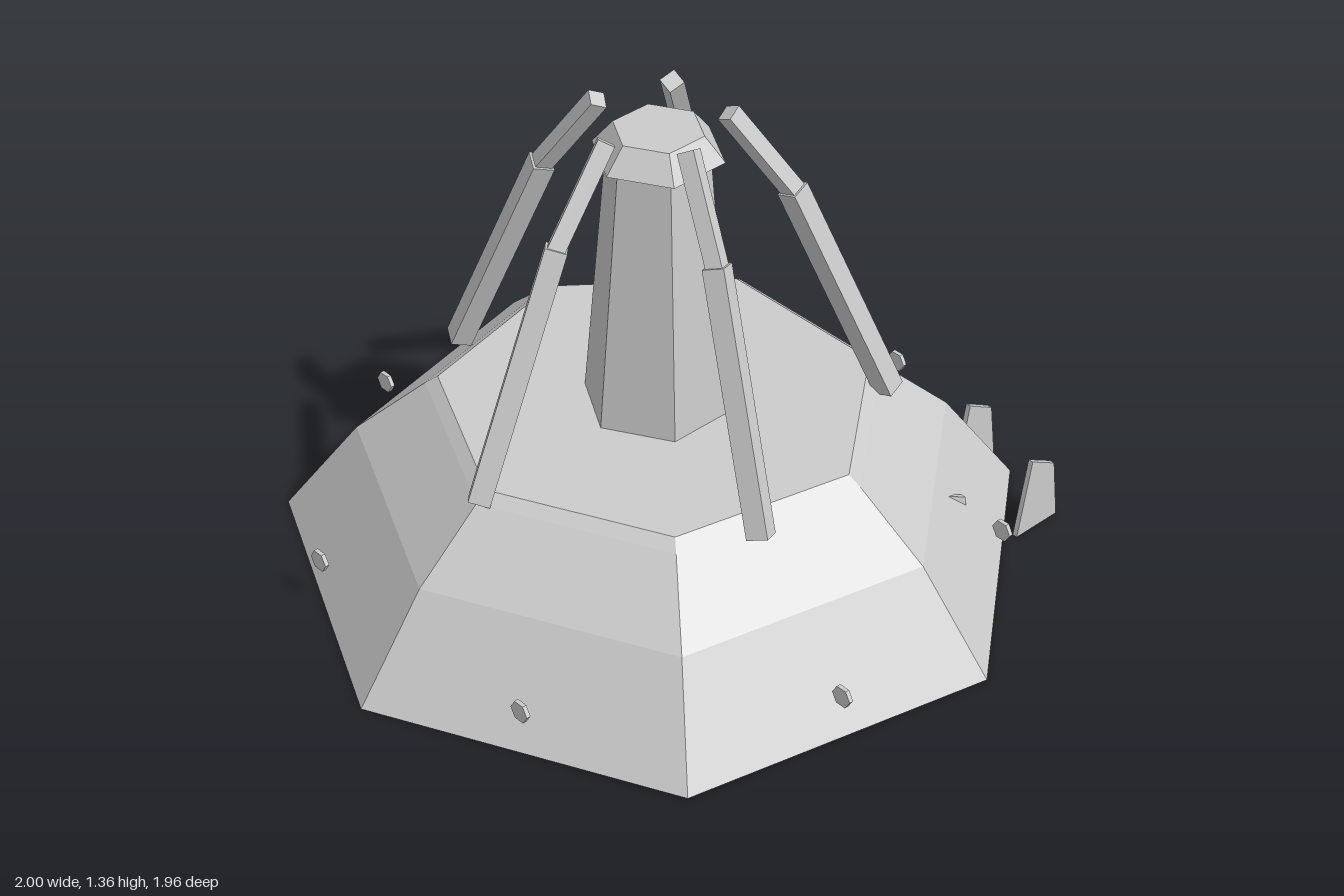
import * as THREE from 'three';

const CZ = -0.045; // z of the common vertical axis

export function createModel() {
  const root = new THREE.Group();
  root.name = 'tower';
  const mat = new THREE.MeshStandardMaterial({ color: 0xcccccc, flatShading: true });

  function add(parent, name, geometry) {
    const mesh = new THREE.Mesh(geometry, mat);
    mesh.name = name;
    parent.add(mesh);
    return mesh;
  }
  // Faceted solid of revolution from [radius, y] points, bottom to top
  const faceted = (points, sides) =>
    new THREE.LatheGeometry(points.map(([r, y]) => new THREE.Vector2(r, y)), sides);

  // Everything radial is built around the axis
  const body = new THREE.Group();
  body.name = 'body';
  body.position.z = CZ;
  root.add(body);

  // Seven-sided sloping base with a bevelled deck
  add(body, 'base', faceted(
    [[0, 0], [1.026, 0], [0.82, 0.28], [0.625, 0.45], [0.59, 0.475], [0, 0.475]], 7));

  // Six-sided pillar and its cap
  add(body, 'pillar', faceted([[0, 0.46], [0.203, 0.46], [0.138, 1.24], [0, 1.24]], 6));
  add(body, 'cap', faceted([[0, 1.235], [0.175, 1.235], [0.12, 1.303], [0, 1.303]], 6));

  // Diamond-section bar between two [radius, y] points
  function bar(parent, name, [r0, y0], [r1, y1], radius) {
    const dy = y1 - y0, dr = r1 - r0;
    const mesh = add(parent, name,
      new THREE.CylinderGeometry(radius, radius, Math.hypot(dy, dr), 4));
    mesh.position.set(0, (y0 + y1) / 2, (r0 + r1) / 2);
    mesh.rotation.x = Math.atan2(dr, dy);
  }

  // Five two-part arms leaning in over the pillar
  for (let i = 0; i < 5; i++) {
    const arm = new THREE.Group();
    arm.name = 'arm';
    arm.rotation.y = (i / 5) * Math.PI * 2;
    bar(arm, 'lowerArm', [0.615, 0.453], [0.342, 1.1], 0.041);
    bar(arm, 'upperArm', [0.352, 1.085], [0.175, 1.337], 0.032);
    body.add(arm);
  }

  // Hexagonal studs, one on the middle of each base side, all facing front
  const studGeo = new THREE.CylinderGeometry(0.031, 0.031, 0.012, 6);
  studGeo.rotateY(Math.PI / 2).rotateX(Math.PI / 2);
  for (let i = 0; i < 7; i++) {
    const a = ((i + 0.5) / 7) * Math.PI * 2;
    add(body, 'stud', studGeo).position.set(0.925 * Math.sin(a), 0.14, 0.925 * Math.cos(a));
  }

  // Thin upright fins scattered along the back; shape runs backwards from its front corner
  const finShape = new THREE.Shape([[0, 0], [0.158, 0], [0.132, 0.185], [0.042, 0.235]]
    .map(([u, v]) => new THREE.Vector2(u, v)));
  const finGeo = new THREE.ExtrudeGeometry(finShape, { depth: 0.015, bevelEnabled: false });
  finGeo.translate(0, 0, -0.0075).rotateY(Math.PI / 2);
  for (const [x, z] of [[0.65, -0.763], [0.365, -0.824], [0.59, -0.478], [-0.48, -0.73], [-0.705, -0.655]]) {
    add(root, 'fin', finGeo).position.set(x, 0, z);
  }

  return root;
}
